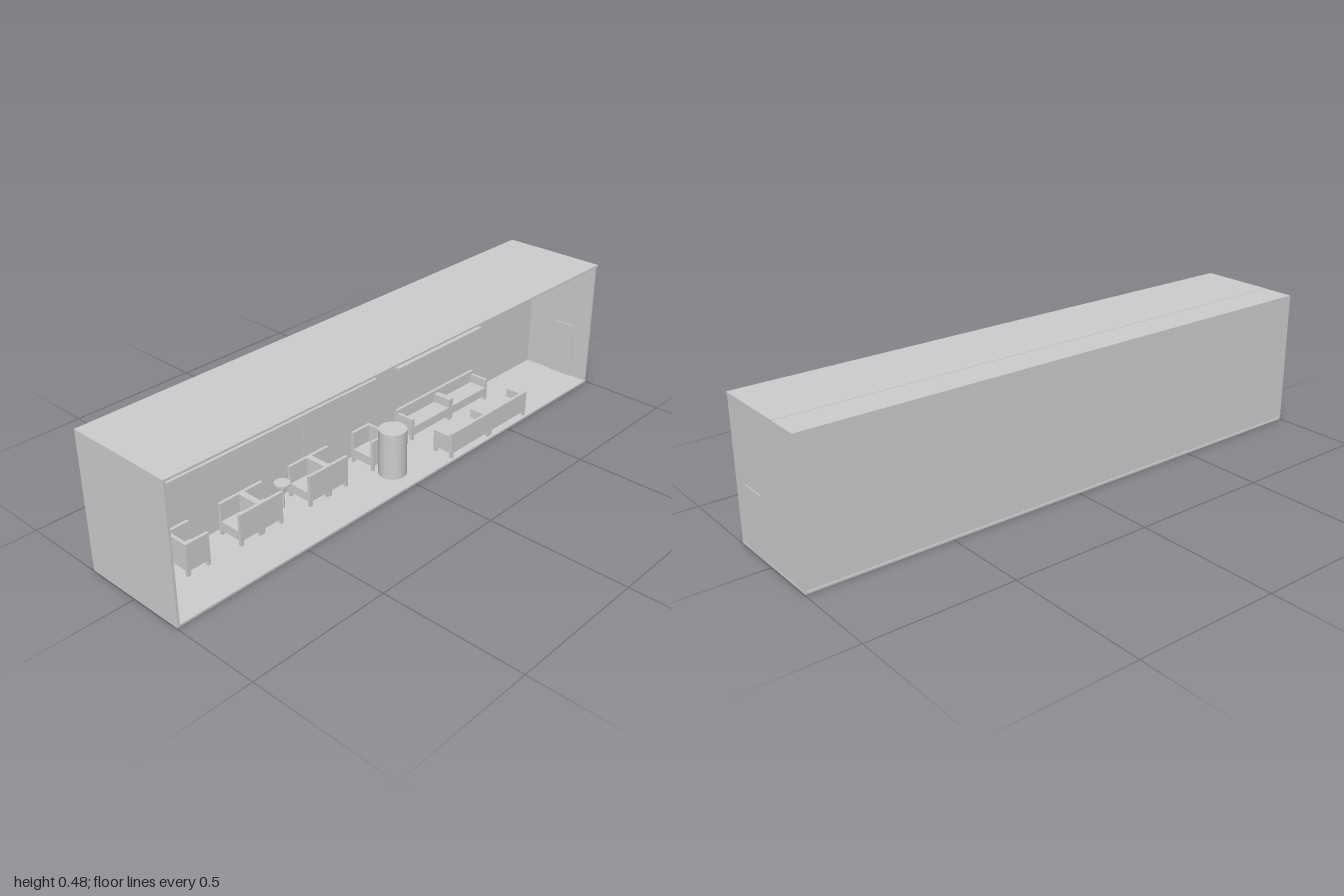
import * as THREE from 'three';

const mat = new THREE.MeshStandardMaterial({ color: 0xcccccc });
const FLOOR = 0.007, WALL = -0.08;

// Box given by its extents along each axis
function slab(parent, name, [x0, x1], [y0, y1], [z0, z1]) {
  const mesh = new THREE.Mesh(new THREE.BoxGeometry(x1 - x0, y1 - y0, z1 - z0), mat);
  mesh.position.set((x0 + x1) / 2, (y0 + y1) / 2, (z0 + z1) / 2);
  mesh.name = name;
  parent.add(mesh);
  return mesh;
}

function cylinder(parent, name, r, y0, y1, x, z, sides = 32) {
  const mesh = new THREE.Mesh(new THREE.CylinderGeometry(r, r, y1 - y0, sides), mat);
  mesh.position.set(x, (y0 + y1) / 2, z);
  mesh.name = name;
  parent.add(mesh);
}

// Armchair facing +z, standing on y = 0, centred on x and z
function seat(name, w, d, h, armH) {
  const g = new THREE.Group();
  g.name = name;
  const t = 0.011, leg = 0.018, x = w / 2, z = d / 2;
  slab(g, 'backrest', [-x, x], [leg, h], [-z, -z + t]);
  slab(g, 'cushion', [-x + t, x - t], [leg, 0.05], [-z + t, z]);
  for (const s of [-1, 1]) {
    const ax = s < 0 ? [-x, -x + t] : [x - t, x];
    slab(g, 'armrest', ax, [leg, armH], [-z + t, z]);
    for (const lz of [-z, z - t]) slab(g, 'leg', ax, [0, leg], [lz, lz + t]);
  }
  return g;
}

function place(parent, part, x, z, turn) {
  part.position.set(x, FLOOR, z);
  part.rotation.y = turn;
  parent.add(part);
}

export function createModel() {
  const model = new THREE.Group();
  model.name = 'lounge';

  // Room shell, open at the front
  const room = new THREE.Group();
  room.name = 'room';
  model.add(room);
  slab(room, 'floor', [-0.998, 0.998], [0, FLOOR], [-0.195, 0.189]);
  slab(room, 'ceiling', [-1, 0.997], [0.476, 0.483], [WALL, 0.195]);
  slab(room, 'rearCeiling', [-1, 0.997], [0.476, 0.482], [-0.195, WALL]);
  slab(room, 'rightWall', [-1, -0.992], [FLOOR, 0.476], [-0.195, 0.195]);
  slab(room, 'leftWall', [0.99, 0.997], [FLOOR, 0.476], [-0.195, 0.189]);
  slab(room, 'innerWall', [-0.992, 0.99], [FLOOR, 0.476], [WALL - 0.007, WALL]);
  slab(room, 'backWall', [-0.992, 0.99], [FLOOR, 0.476], [-0.191, -0.184]);
  slab(room, 'wallPanel', [-0.25, 0.055], [FLOOR, 0.278], [WALL, WALL + 0.002]);

  // Doors in the end walls
  slab(room, 'rightDoor', [-0.994, -0.985], [FLOOR, 0.217], [0.027, 0.123]);
  slab(room, 'leftDoor', [0.986, 1], [FLOOR, 0.217], [0.027, 0.123]);

  // Wall shelves and the boxes on the long one
  slab(model, 'longShelf', [-0.857, 0.06], [0.278, 0.289], [WALL, -0.04]);
  slab(model, 'shortShelf', [0.165, 0.618], [0.278, 0.289], [WALL, -0.035]);
  slab(model, 'shelfBox', [-0.087, -0.026], [0.289, 0.312], [WALL + 0.004, -0.05]);
  slab(model, 'shelfBox', [-0.022, 0.052], [0.289, 0.312], [WALL + 0.004, -0.05]);

  // Booth chairs: single ends and back-to-back pairs, mirrored about the table
  const mid = -0.398;
  for (const s of [-1, 1]) {
    for (const [offset, facing] of [[0.395, -1], [0.189, 1], [0.102, -1]]) {
      const turn = s * facing * Math.PI / 2;
      place(model, seat('boothChair', 0.1, 0.087, 0.113, 0.113), mid + s * offset, -0.011, turn);
    }
  }

  // Small round table
  cylinder(model, 'tableTop', 0.027, 0.095, 0.1, mid, -0.025);
  cylinder(model, 'tableStem', 0.006, FLOOR, 0.095, mid, -0.025, 16);

  // Round column
  cylinder(model, 'column', 0.048, FLOOR, 0.175, -0.005, 0.09, 40);

  // Two sofas of two seats each, facing one another
  for (const [z, turn] of [[-0.039, 0], [0.139, Math.PI]]) {
    for (const x of [0.3015, 0.5125]) {
      place(model, seat('sofaSeat', 0.211, 0.08, 0.094, 0.082), x, z, turn);
    }
  }
  return model;
}
